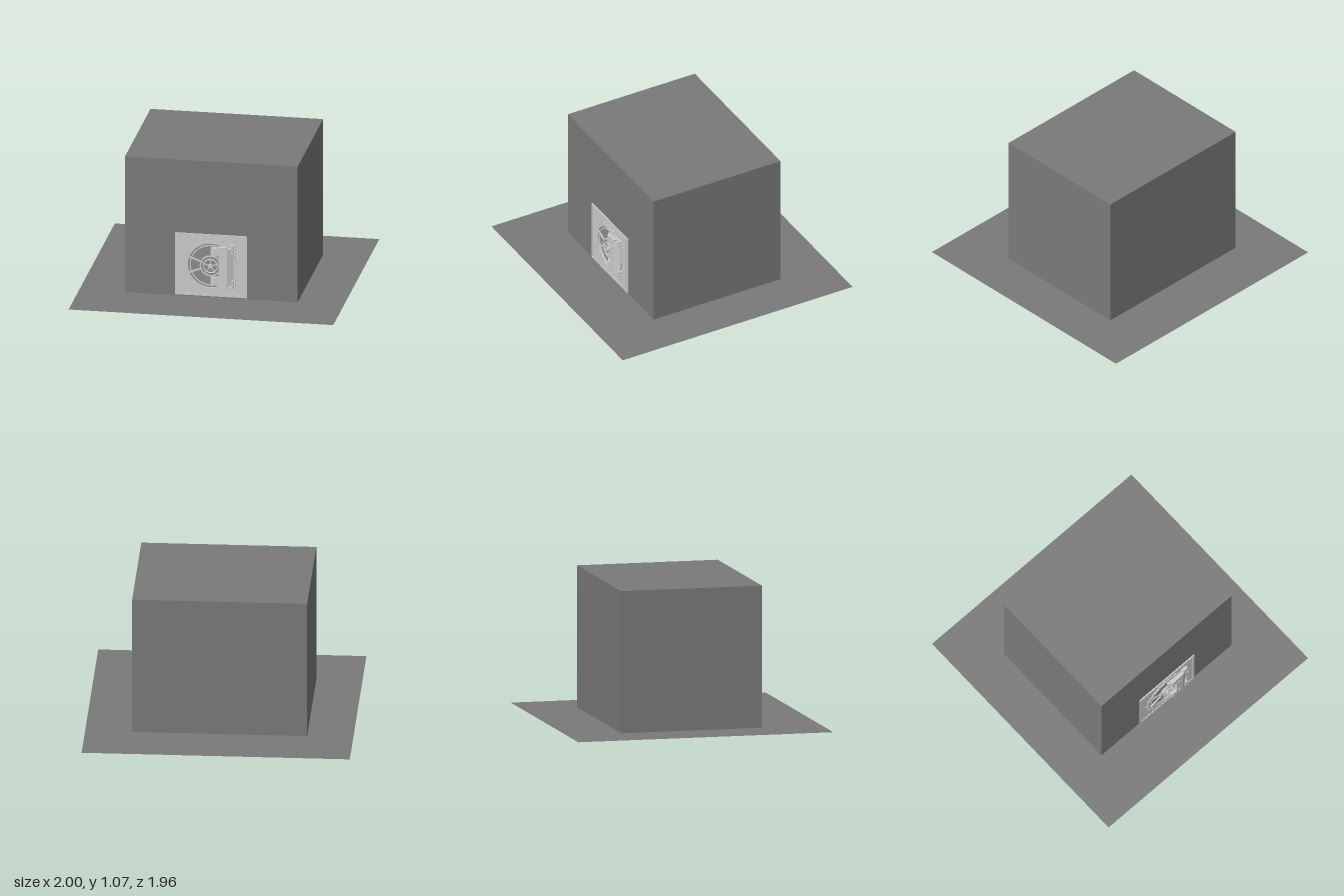
import * as THREE from 'three';

const steel = new THREE.MeshStandardMaterial({ color: 0xcccccc });
const dark = new THREE.MeshStandardMaterial({ color: 0x7a7a7a });
const groundMat = new THREE.MeshStandardMaterial({ color: 0x7a7a7a, side: THREE.DoubleSide });
const doorMat = new THREE.MeshStandardMaterial({ color: 0x8c8c8c });

function add(parent, name, geometry, x = 0, y = 0, z = 0, material = steel) {
  const mesh = new THREE.Mesh(geometry, material);
  mesh.name = name;
  mesh.position.set(x, y, z);
  parent.add(mesh);
  return mesh;
}

const box = (w, h, d) => new THREE.BoxGeometry(w, h, d);
// Cylinder whose axis points along z
const disc = (r, d, sides = 32) => new THREE.CylinderGeometry(r, r, d, sides).rotateX(Math.PI / 2);

// Flat ring from z = 0 to z = d
function ring(outer, inner, d) {
  const shape = new THREE.Shape().absarc(0, 0, outer, 0, Math.PI * 2);
  shape.holes.push(new THREE.Path().absarc(0, 0, inner, 0, Math.PI * 2, true));
  return new THREE.ExtrudeGeometry(shape, { depth: d, bevelEnabled: false, curveSegments: 32 });
}

// Rectangular frame from z = 0 to z = d
function frame(w, h, t, d) {
  const rect = (p, a, b) => p.moveTo(-a, -b).lineTo(a, -b).lineTo(a, b).lineTo(-a, b).closePath();
  const shape = rect(new THREE.Shape(), w / 2, h / 2);
  shape.holes.push(rect(new THREE.Path(), w / 2 - t, h / 2 - t));
  return new THREE.ExtrudeGeometry(shape, { depth: d, bevelEnabled: false });
}

// Outline in [x, z], extruded to height h and centred on y
function prism(points, h) {
  const shape = new THREE.Shape(points.map(([x, z]) => new THREE.Vector2(x, -z)));
  return new THREE.ExtrudeGeometry(shape, { depth: h, bevelEnabled: false })
    .rotateX(-Math.PI / 2).translate(0, -h / 2, 0);
}

function createVaultDoor() {
  const vault = new THREE.Group();
  vault.name = 'vaultDoor';
  vault.position.set(-0.005, 0.253, 0.52);

  // Square surround with stepped rim; its opening holds the door
  const panel = new THREE.Shape([[-1, -1], [1, -1], [1, 1], [-1, 1]]
    .map(([x, y]) => new THREE.Vector2(x * 0.272, y * 0.243)));
  panel.holes.push(new THREE.Path().absarc(0, 0, 0.175, 0, Math.PI * 2, true));
  add(vault, 'surroundPanel', new THREE.ExtrudeGeometry(panel,
    { depth: 0.007, bevelEnabled: false, curveSegments: 32 }));
  add(vault, 'surroundRim', frame(0.544, 0.486, 0.016, 0.011));
  add(vault, 'surroundInnerTrim', frame(0.49, 0.435, 0.004, 0.009));

  // Round frame, recessed door and studs
  add(vault, 'doorRing', ring(0.195, 0.172, 0.014));
  add(vault, 'doorDisc', disc(0.174, 0.004, 48), 0, 0, 0.002, doorMat);
  add(vault, 'doorInnerRing', ring(0.16, 0.152, 0.008), 0, 0, 0.003);
  for (let i = 0; i < 16; i++) {
    const a = (i / 16) * Math.PI * 2;
    add(vault, 'stud', disc(0.008, 0.012, 10), 0.206 * Math.cos(a), 0.206 * Math.sin(a), 0.009);
  }

  // Two locking bars spreading to the left
  for (const s of [-1, 1]) {
    const bar = add(vault, 'lockingBar', box(0.12, 0.012, 0.01), -0.118, s * 0.044, 0.012);
    bar.rotation.z = -s * 0.36;
  }

  // Hand wheel with hub and spokes
  const wheel = new THREE.Group();
  wheel.name = 'handWheel';
  wheel.position.z = 0.016;
  vault.add(wheel);
  add(wheel, 'wheelBase', disc(0.082, 0.014), 0, 0, -0.006, doorMat);
  add(wheel, 'wheelCollar', ring(0.082, 0.072, 0.008));
  add(wheel, 'wheelRim', new THREE.TorusGeometry(0.052, 0.006, 8, 32), 0, 0, 0.01);
  add(wheel, 'wheelHub', disc(0.017, 0.02, 20), 0, 0, 0.008);
  for (let i = 0; i < 5; i++) {
    const a = Math.PI / 2 + (i / 5) * Math.PI * 2;
    const spoke = add(wheel, 'wheelSpoke', box(0.045, 0.007, 0.007),
      0.032 * Math.cos(a), 0.032 * Math.sin(a), 0.01);
    spoke.rotation.z = a;
    add(wheel, 'wheelKnob', disc(0.009, 0.01, 12), 0.052 * Math.cos(a), 0.052 * Math.sin(a), 0.011);
  }

  // C-shaped hinge yoke with sloping sides, notched round the wheel
  const slope = [[0, 0.008], [0.172, 0.008], [0.172, 0.018], [0.128, 0.044], [0.03, 0.044], [0, 0.022]];
  const web = [[0.065, 0.008], [0.172, 0.008], [0.172, 0.018], [0.128, 0.044], [0.065, 0.044]];
  add(vault, 'yokeWeb', prism(web, 0.17));
  for (const s of [-1, 1]) {
    add(vault, 'yokeArm', prism(slope, 0.06), 0, s * 0.115, 0);
    add(vault, 'yokeShoulder', box(0.07, 0.012, 0.03), 0.09, s * 0.15, 0.029);
    add(vault, 'yokeBolt', disc(0.014, 0.01, 16), 0.092, s * 0.08, 0.044);
    // Hinge knuckles on the right
    add(vault, 'hingePin', new THREE.CylinderGeometry(0.009, 0.009, 0.07, 12), 0.168, s * 0.137, 0.024);
    for (const y of [0.108, 0.137, 0.166]) {
      add(vault, 'hingeLeaf', box(0.045, 0.012, 0.02), 0.164, s * y, 0.018);
    }
  }
  return vault;
}

export function createModel() {
  const model = new THREE.Group();
  model.name = 'vaultBuilding';
  add(model, 'ground', new THREE.PlaneGeometry(2, 1.96).rotateX(-Math.PI / 2), 0, 0, 0, groundMat);
  add(model, 'building', box(1.305, 1.07, 1.082), -0.003, 0.535, -0.02, dark);
  model.add(createVaultDoor());
  return model;
}
